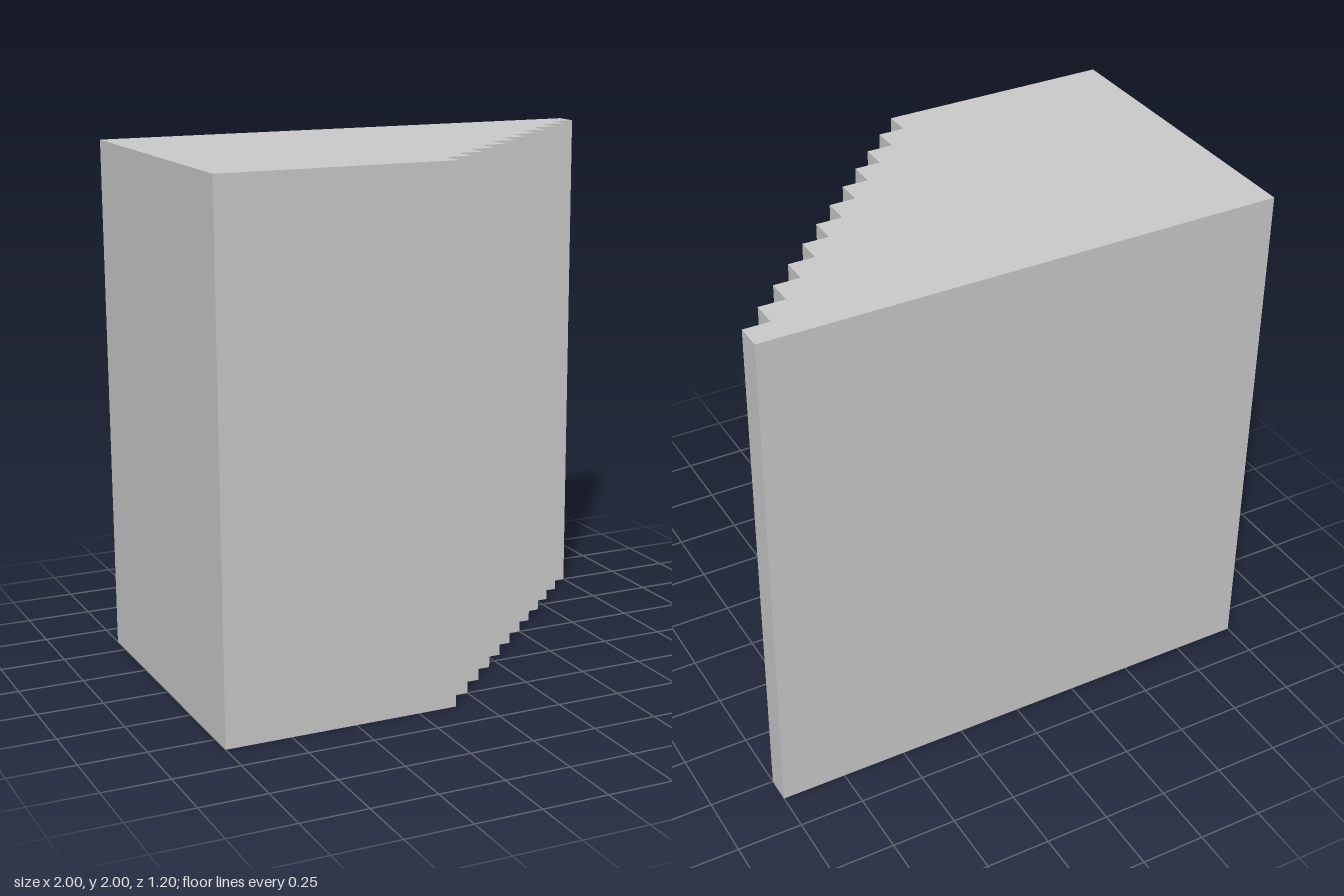
import * as THREE from 'three';

const STEPS = 12;
const STEP = 0.1;
const HEIGHT = 2;

export function createModel() {
  const group = new THREE.Group();
  group.name = 'steppedBlock';

  // Plan outline drawn with shape y = -z: straight back and side, stepped diagonal
  const plan = new THREE.Shape();
  plan.moveTo(-1, 0.6);
  plan.lineTo(-1, -0.6);
  for (let i = STEPS - 1; i >= 0; i--) {
    const x = 1 - i * STEP;
    plan.lineTo(x, 0.6 - (i + 1) * STEP);
    plan.lineTo(x, 0.6 - i * STEP);
  }
  plan.closePath();

  // Raise the plan into a solid standing on the ground
  const geometry = new THREE.ExtrudeGeometry(plan, { depth: HEIGHT, bevelEnabled: false });
  geometry.rotateX(-Math.PI / 2);

  const material = new THREE.MeshStandardMaterial({ color: 0xcccccc, flatShading: true });
  const block = new THREE.Mesh(geometry, material);
  block.name = 'staircaseBlock';
  group.add(block);
  return group;
}
